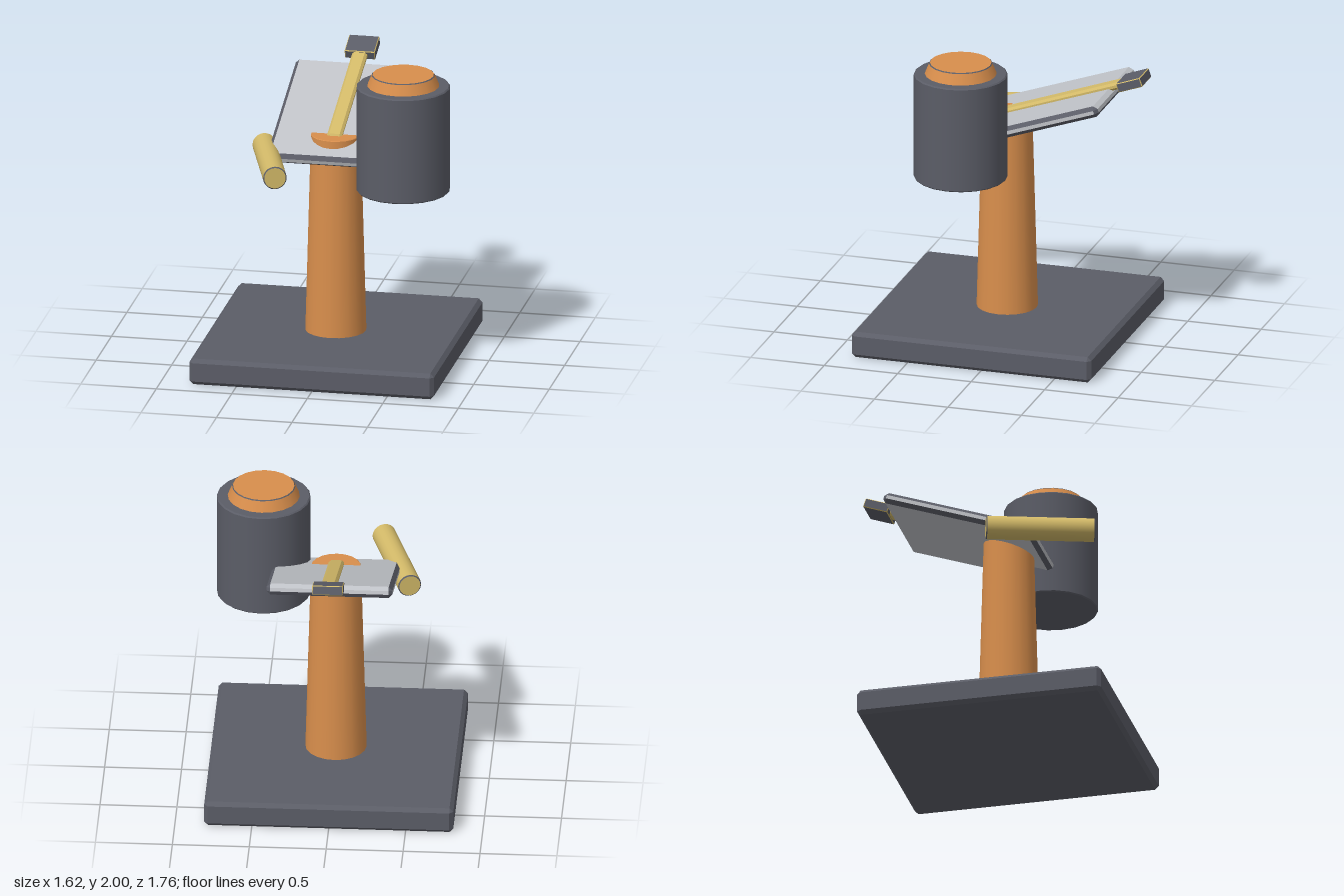
import * as THREE from 'three';

const paint = (name, color) => Object.assign(new THREE.MeshStandardMaterial({ color }), { name });

// Box with chamfered edges: group 0 = flat faces, group 1 = chamfers.
// plain(d) can send a chamfer facing direction d to group 0.
function chamferBox(w, h, d, c, plain = () => false) {
  const half = [w / 2, h / 2, d / 2], signs = [-1, 0, 1];
  const buckets = [[], []];
  for (const x of signs) for (const y of signs) for (const z of signs) {
    const dir = [x, y, z], order = Math.abs(x) + Math.abs(y) + Math.abs(z);
    if (!order) continue;
    const pts = [];
    for (let k = 0; k < 8; k++) {
      const s = [k & 1 ? 1 : -1, k & 2 ? 1 : -1, k & 4 ? 1 : -1];
      if (dir.some((v, i) => v && v !== s[i])) continue;
      dir.forEach((v, a) => {
        if (v) pts.push(new THREE.Vector3(...s.map((q, i) => q * (half[i] - (i === a ? 0 : c)))));
      });
    }
    // order the corners counter-clockwise around the outward direction
    const n = new THREE.Vector3(...dir).normalize();
    const mid = pts.reduce((m, p) => m.add(p), new THREE.Vector3()).divideScalar(pts.length);
    const u = pts[0].clone().sub(mid).projectOnPlane(n).normalize();
    const v = n.clone().cross(u);
    const angle = p => { const q = p.clone().sub(mid); return Math.atan2(q.dot(v), q.dot(u)); };
    pts.sort((a, b) => angle(a) - angle(b));
    const out = buckets[order > 1 && !plain(dir) ? 1 : 0];
    for (let i = 1; i < pts.length - 1; i++) {
      for (const p of [pts[0], pts[i], pts[i + 1]]) out.push(p.x, p.y, p.z);
    }
  }
  const g = new THREE.BufferGeometry();
  g.setAttribute('position', new THREE.Float32BufferAttribute(buckets.flat(), 3));
  g.addGroup(0, buckets[0].length / 3, 0);
  g.addGroup(buckets[0].length / 3, buckets[1].length / 3, 1);
  g.computeVertexNormals();
  return g;
}

// Upright cylinder or cone section with small bevelled rims, centred on its middle
function drum(name, rBottom, rTop, h, bevel, mat, rimMat, segments = 20) {
  const group = new THREE.Group();
  group.name = name;
  const body = new THREE.Mesh(
    new THREE.CylinderGeometry(rTop, rBottom, h - 2 * bevel, segments, 1, true), mat);
  body.name = name + 'Body';
  group.add(body);
  for (const s of [1, -1]) {
    const r = s > 0 ? rTop : rBottom;
    const rim = new THREE.Mesh(
      new THREE.CylinderGeometry(s > 0 ? r - bevel : r, s > 0 ? r : r - bevel, bevel, segments),
      [rimMat, mat, mat]);
    rim.name = name + 'Rim';
    rim.position.y = s * (h - bevel) / 2;
    group.add(rim);
  }
  return group;
}

export function createModel() {
  const model = new THREE.Group();
  model.name = 'model';
  const dark = paint('dark grey', 0x5b5d67);
  const light = paint('light grey', 0xbfc2c7);
  const orange = paint('orange', 0xd88e4c);
  const yellow = paint('yellow', 0xd2b968);
  const tilt = 0.335;

  const add = (part, x, y, z) => {
    part.position.set(x, y, z);
    model.add(part);
    return part;
  };
  const box = (name, geometry, materials) =>
    Object.assign(new THREE.Mesh(geometry, materials), { name });

  // Square base slab and tapered column
  add(box('base', chamferBox(1.62, 0.175, 1.63, 0.025), [dark, dark]), 0, 0.0875, 0.065);
  add(drum('column', 0.2, 0.163, 1.36, 0.004, orange, orange, 20), 0, 0.83, 0.07);

  // Tilted plate with dark chamfers, lighter along the upper back edge
  const plate = chamferBox(0.82, 0.074, 1.05, 0.025, d => !d[0] && d[1] > 0 && d[2] < 0);
  add(box('plate', plate, [light, dark]), 0, 1.56, -0.175).rotation.x = tilt;

  // Rod lying along the plate, with a block on its upper end
  add(box('rod', chamferBox(0.1, 0.048, 0.9, 0.015), [yellow, yellow]),
    0, 1.646, -0.3).rotation.x = tilt + 0.005;
  add(box('rodBlock', chamferBox(0.2, 0.062, 0.172, 0.005), [dark, yellow]),
    0, 1.82, -0.79).rotation.x = tilt + 0.01;

  // Large canister with a tapered cap
  add(drum('canister', 0.305, 0.305, 0.715, 0.008, dark, dark, 20), 0.48, 1.5675, 0.235);
  add(drum('cap', 0.238, 0.206, 0.09, 0.006, orange, dark, 20), 0.48, 1.955, 0.235);

  // Round grip lying level beside the plate
  const grip = drum('grip', 0.077, 0.077, 0.71, 0.007, yellow, dark, 20);
  grip.rotation.set(Math.PI / 2, 0, -0.3);
  add(grip, -0.377, 1.395, 0.374);

  return model;
}
